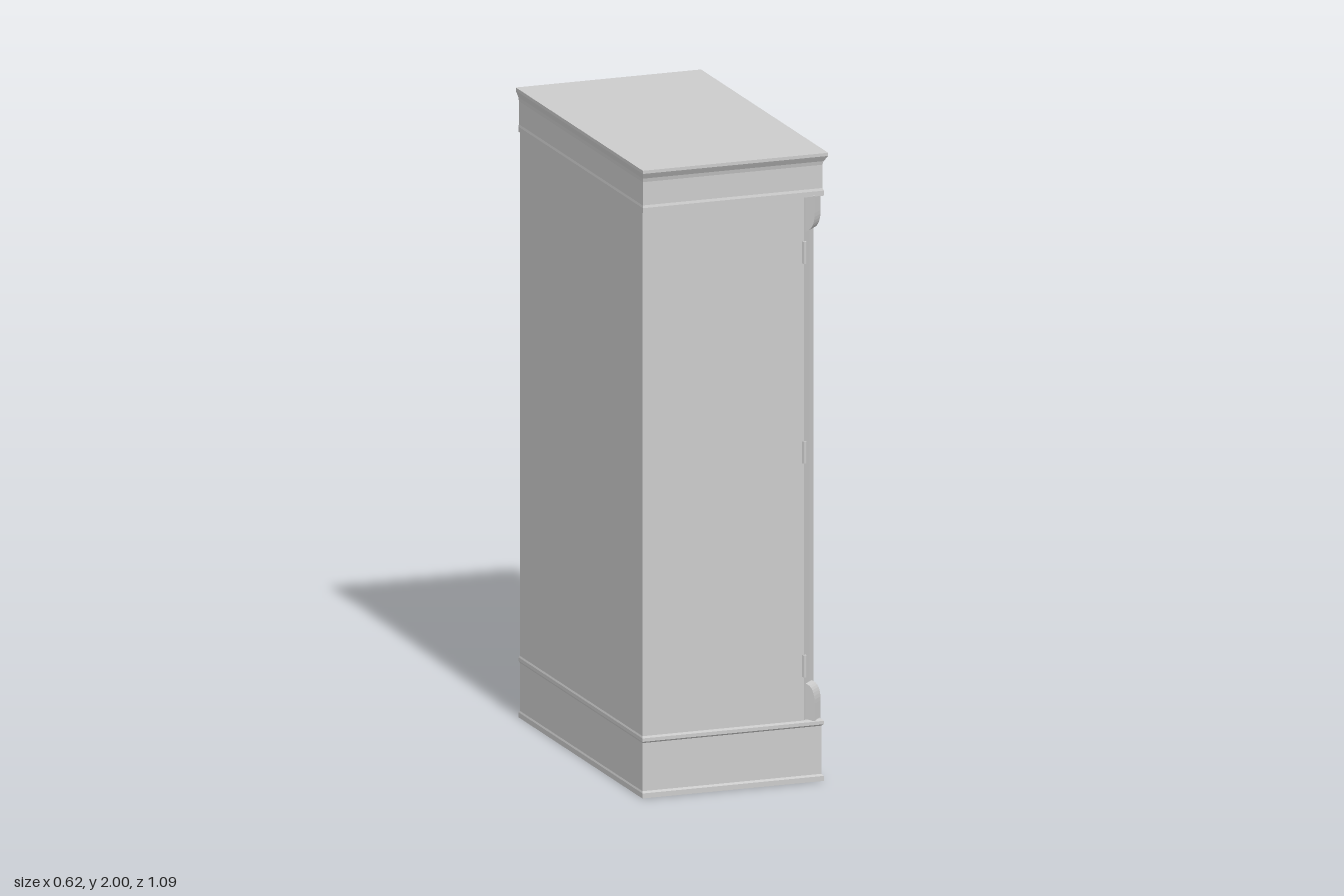
import * as THREE from 'three';

const mat = new THREE.MeshStandardMaterial({ color: 0xcccccc });

export function createModel() {
  const root = new THREE.Group();

  const add = (name, geo, parent = root) => {
    const mesh = new THREE.Mesh(geo, mat);
    mesh.name = name;
    parent.add(mesh);
    return mesh;
  };
  const group = (name) => {
    const g = new THREE.Group();
    g.name = name;
    root.add(g);
    return g;
  };
  // Box given by its limits
  const block = (name, x0, x1, y0, y1, z0, z1, parent) => {
    const g = new THREE.BoxGeometry(x1 - x0, y1 - y0, z1 - z0);
    g.translate((x0 + x1) / 2, (y0 + y1) / 2, (z0 + z1) / 2);
    return add(name, g, parent);
  };
  // Upright prism over a plan outline of [x, z] points
  const prism = (name, pts, y0, y1, parent) => {
    const shape = new THREE.Shape(pts.map(([x, z]) => new THREE.Vector2(x, -z)));
    const g = new THREE.ExtrudeGeometry(shape, { depth: y1 - y0, bevelEnabled: false });
    g.rotateX(-Math.PI / 2).translate(0, y0, 0);
    return add(name, g, parent);
  };
  // Rectangular moulding: levels of [y, back x, front x, half width]
  const moulding = (name, levels, parent) => {
    const rings = levels.map(([y, x0, x1, h]) => [[x0, y, h], [x1, y, h], [x1, y, -h], [x0, y, -h]]);
    const v = [];
    const quad = (a, b, c, d) => v.push(...a, ...b, ...c, ...a, ...c, ...d);
    for (let i = 0; i < rings.length - 1; i++) {
      for (let k = 0; k < 4; k++) {
        const n = (k + 1) % 4;
        quad(rings[i][k], rings[i][n], rings[i + 1][n], rings[i + 1][k]);
      }
    }
    const b = rings[0], t = rings[rings.length - 1];
    quad(b[3], b[2], b[1], b[0]);
    quad(t[0], t[1], t[2], t[3]);
    const g = new THREE.BufferGeometry();
    g.setAttribute('position', new THREE.Float32BufferAttribute(v, 3));
    g.computeVertexNormals();
    return add(name, g, parent);
  };

  const PANEL = 0.258, FACE = 0.28, Y0 = 0.195, Y1 = 1.865;

  // Carcass with chamfered front corners
  prism('carcass', [[-0.304, 0.525], [0.228, 0.525], [PANEL, 0.494],
    [PANEL, -0.494], [0.228, -0.525], [-0.304, -0.525]], Y0, Y1);

  // Door frames; the carcass front shows through as the recessed panels
  const doors = group('doors');
  const stile = (name, a, b) => prism(name, [[PANEL, a[0]], [FACE, a[1]], [FACE, b[1]], [PANEL, b[0]]], Y0, Y1, doors);
  stile('leftOuterStile', [0.494, 0.473], [0.417, 0.425]);
  stile('leftInnerStile', [0.177, 0.165], [0.113, 0.113]);
  stile('rightInnerStile', [0.093, 0.093], [0.012, 0.02]);
  stile('rightOuterStile', [-0.39, -0.4], [-0.494, -0.473]);
  for (const [side, z0, z1] of [['left', 0.17, 0.42], ['right', -0.395, 0.015]]) {
    block(side + 'TopRail', PANEL, FACE - 0.004, 1.835, Y1, z0, z1, doors);
    block(side + 'TopBead', PANEL, FACE - 0.012, 1.822, 1.835, z0, z1, doors);
    block(side + 'BottomRail', PANEL, FACE - 0.004, Y0, 0.23, z0, z1, doors);
    block(side + 'BottomBead', PANEL, FACE - 0.012, 0.23, 0.243, z0, z1, doors);
  }
  prism('centreStrip', [[PANEL, 0.112], [0.281, 0.112], [0.285, 0.107],
    [0.285, 0.099], [0.281, 0.094], [PANEL, 0.094]], Y0, Y1, doors);

  // Scrolled corner brackets, top and mirrored at the bottom
  const profile = new THREE.Shape();
  profile.moveTo(-0.01, 0);
  profile.lineTo(0.03, 0);
  profile.lineTo(0.03, -0.055);
  profile.bezierCurveTo(0.03, -0.09, 0.02, -0.112, 0, -0.116);
  profile.lineTo(-0.01, -0.116);
  const bracketGeo = (flip) => {
    const shape = flip
      ? new THREE.Shape(profile.getPoints(8).map((p) => new THREE.Vector2(p.x, -p.y)))
      : profile;
    return new THREE.ExtrudeGeometry(shape, { depth: 0.046, bevelEnabled: false, curveSegments: 8 })
      .translate(0, 0, -0.023);
  };
  const topBracket = bracketGeo(false), bottomBracket = bracketGeo(true);
  const hingeGeo = new THREE.CylinderGeometry(0.006, 0.006, 0.07, 10);
  for (const s of [1, -1]) {
    for (const [geo, y, name] of [[topBracket, Y1, 'topBracket'], [bottomBracket, Y0, 'bottomBracket']]) {
      const m = add(name, geo);
      m.position.set(0.254, y, s * 0.499);
      m.rotation.y = -s * Math.PI / 4;
    }
    for (const y of [0.37, 1.05, 1.685]) add('hinge', hingeGeo).position.set(0.23, y, s * 0.526);
  }

  // Base with two recessed drawer fronts
  const base = group('base');
  block('baseBox', -0.304, 0.277, 0.015, 0.18, -0.525, 0.525, base);
  block('leftBasePost', 0.27, 0.286, 0.015, 0.18, 0.515, 0.525, base);
  block('rightBasePost', 0.27, 0.286, 0.015, 0.18, -0.525, -0.512, base);
  block('drawerDivider', 0.27, 0.286, 0.015, 0.18, 0.096, 0.111, base);
  block('leftDrawer', 0.27, 0.282, 0.026, 0.172, 0.115, 0.511, base);
  block('rightDrawer', 0.27, 0.282, 0.026, 0.172, -0.508, 0.092, base);
  moulding('plinth', [[0, -0.306, 0.292, 0.53], [0.016, -0.306, 0.292, 0.53],
    [0.022, -0.304, 0.286, 0.525]], base);
  moulding('baseMoulding', [[0.175, -0.304, 0.286, 0.525], [0.18, -0.306, 0.292, 0.53],
    [0.191, -0.306, 0.292, 0.53], [0.197, -0.304, 0.286, 0.526]], base);

  // Cornice: frieze with a small lower lip and a flared top
  moulding('cornice', [[1.862, -0.306, 0.291, 0.533], [1.878, -0.306, 0.291, 0.533],
    [1.886, -0.305, 0.287, 0.53], [1.96, -0.305, 0.287, 0.53], [1.972, -0.306, 0.29, 0.533],
    [1.985, -0.309, 0.298, 0.541], [1.99, -0.31, 0.301, 0.544], [2, -0.31, 0.301, 0.544]]);

  // Turned knobs on doors and drawers
  const knobGeo = new THREE.LatheGeometry([[0, -0.005], [0.006, -0.005], [0.006, 0.008], [0.013, 0.012],
    [0.015, 0.017], [0.012, 0.022], [0.006, 0.025], [0, 0.026]].map(([r, y]) => new THREE.Vector2(r, y)), 16);
  knobGeo.rotateZ(-Math.PI / 2);
  for (const [name, x, y, z] of [['doorKnob', FACE, 1, 0.14], ['doorKnob', FACE, 1, 0.058],
    ['drawerKnob', 0.283, 0.097, 0.325], ['drawerKnob', 0.283, 0.097, -0.203]]) {
    add(name, knobGeo).position.set(x, y, z);
  }
  return root;
}
